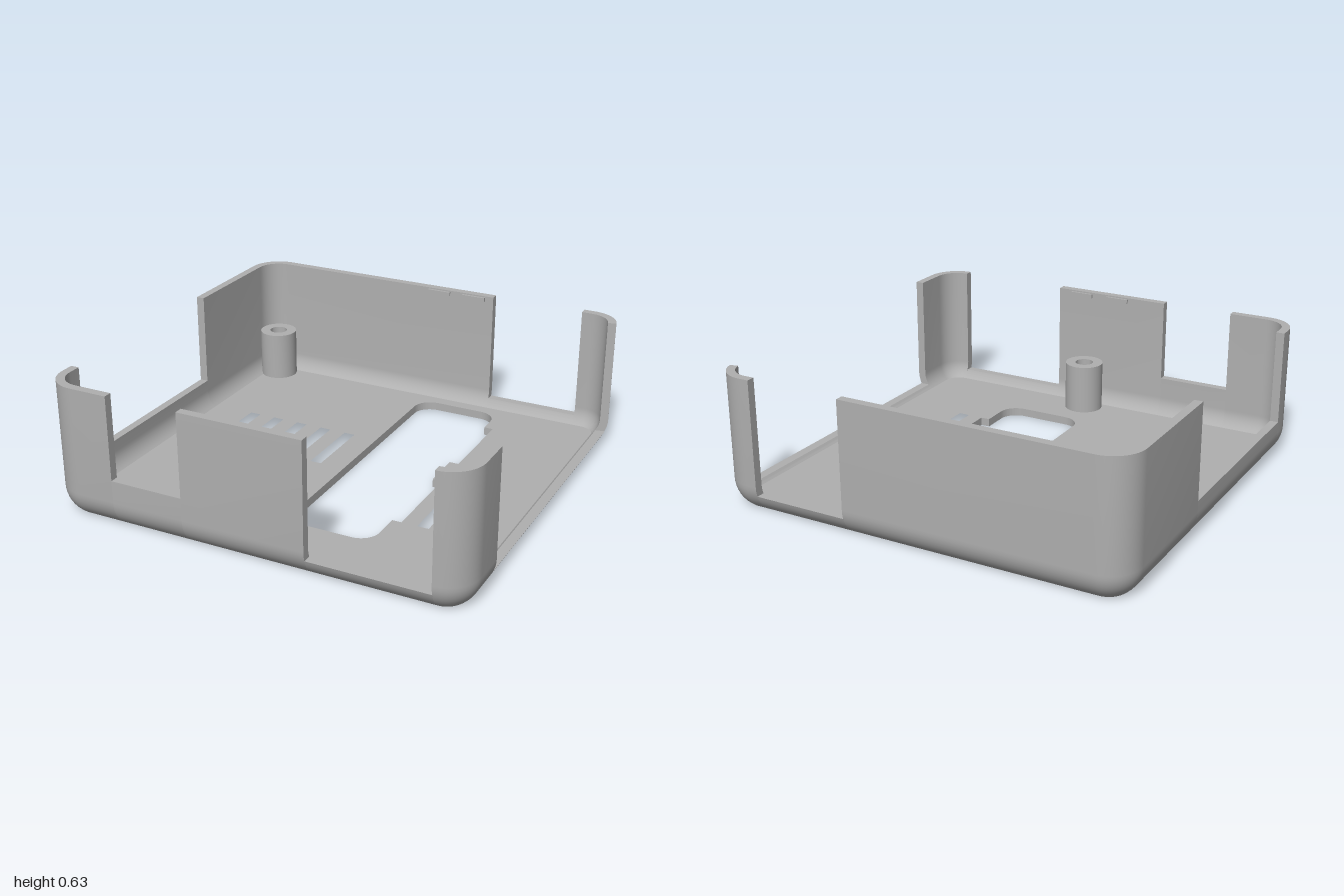
import * as THREE from 'three';
import { toCreasedNormals } from 'three/addons/utils/BufferGeometryUtils.js';

const W = 0.85, D = 0.82;         // corner centres of the rounded plan
const R = 0.15, RI = 0.11;        // outer and inner corner radius
const ARC_Y = 0.124, FLOOR = 0.04, FOOT = 0.085, TOP = 0.63;
const PI = Math.PI;

// Path stations hold a centre line point and an outward angle
const at = (x, z, a) => ({ x, z, a });
function arc(x, z, a0, a1, n = 12) {
  const out = [];
  for (let i = 0; i <= n; i++) out.push(at(x, z, a0 + (a1 - a0) * i / n));
  return out;
}

// Wall cross-section: outset from the corner centre, and height
function wallProfile(top) {
  const pts = [], n = 8;
  const angle = (y, r) => Math.asin(Math.max(0, ARC_Y - y) / r);
  const curve = (r, y0, y1) => {
    const a0 = angle(y0, r), a1 = angle(y1, r);
    for (let i = 0; i <= n; i++) {
      const a = a0 + (a1 - a0) * i / n;
      pts.push(new THREE.Vector2(r * Math.cos(a), ARC_Y - r * Math.sin(a)));
    }
  };
  curve(R, 0, top);
  if (top > ARC_Y) pts.push(new THREE.Vector2(R, top), new THREE.Vector2(RI, top));
  curve(RI, top, FLOOR);
  pts.push(new THREE.Vector2(FOOT, FLOOR));
  pts[0].set(FOOT, 0);
  return pts;
}

// Sweep the cross-section along the stations and cap both ends
function wallGeometry(path, top) {
  const prof = wallProfile(top), pos = [];
  const put = (s, p) => pos.push(s.x + Math.cos(s.a) * p.x, p.y, s.z + Math.sin(s.a) * p.x);
  for (let i = 0; i < path.length - 1; i++) {
    const s = path[i], t = path[i + 1];
    prof.forEach((p, j) => {
      const q = prof[(j + 1) % prof.length];
      put(s, p); put(s, q); put(t, p);
      put(s, q); put(t, q); put(t, p);
    });
  }
  const first = path[0], last = path[path.length - 1];
  for (const [a, b, c] of THREE.ShapeUtils.triangulateShape(prof, [])) {
    put(first, prof[a]); put(first, prof[c]); put(first, prof[b]);
    put(last, prof[a]); put(last, prof[b]); put(last, prof[c]);
  }
  const g = new THREE.BufferGeometry();
  g.setAttribute('position', new THREE.Float32BufferAttribute(pos, 3));
  return toCreasedNormals(g, 0.5);
}

// Rectangular floor slot (shape y is -z)
function slot(x0, x1, z0, z1) {
  return new THREE.Path([[x0, -z0], [x1, -z0], [x1, -z1], [x0, -z1]].map(p => new THREE.Vector2(...p)));
}

export function createModel() {
  const model = new THREE.Group();
  model.name = 'enclosureTray';
  const grey = new THREE.MeshStandardMaterial({ color: 0xb0b0b0 });
  grey.name = 'greyPlastic';
  const add = (name, geometry, x = 0, y = 0, z = 0) => {
    const m = new THREE.Mesh(geometry, grey);
    m.name = name;
    m.position.set(x, y, z);
    model.add(m);
  };

  // Walls and low sills, running around the tray
  const right = 0, front = PI / 2, left = PI, back = 1.5 * PI;
  const skew = 0.2;               // right opening runs a little into the back corner
  const walls = [
    ['rightSill', 0.06, [...arc(W, -D, -skew, 0, 3), at(W, 0.66, right)]],
    ['frontRightCorner', TOP, [at(W, 0.66, right), ...arc(W, D, 0, front)]],
    ['frontPortSill', 0.08, [at(W, D, front), at(0.28, D, front)]],
    ['frontPanel', TOP, [at(0.28, D, front), at(-0.31, D, front)]],
    ['frontSmallSill', 0.23, [at(-0.31, D, front), at(-0.665, D, front)]],
    ['frontLeftCorner', TOP, [at(-0.665, D, front), ...arc(-W, D, front, left), at(-W, 0.76, left)]],
    ['leftSill', 0.18, [at(-W, 0.76, left), at(-W, -0.26, left)]],
    ['backLeftWall', TOP, [at(-W, -0.26, left), ...arc(-W, -D, left, back), at(0.335, -D, back)]],
    ['backSill', 0.08, [at(0.335, -D, back), at(0.8, -D, back)]],
    ['backRightCorner', TOP, [at(0.8, -D, back), ...arc(W, -D, back, 2 * PI - skew)]],
  ];
  for (const [name, top, path] of walls) add(name, wallGeometry(path, top));

  // Floor plate with its openings
  const rim = [...arc(W, D, 0, front), ...arc(-W, D, front, left),
    ...arc(-W, -D, left, back), ...arc(W, -D, back, 2 * PI)];
  const floor = new THREE.Shape(rim.map(s =>
    new THREE.Vector2(s.x + FOOT * Math.cos(s.a), -s.z - FOOT * Math.sin(s.a))));

  // Large opening with two side notches
  const r = 0.09, x1 = 0.42, xn = 0.465, yb = -0.635, yt = 0.83;
  const bay = new THREE.Path();
  bay.moveTo(r, yb);
  bay.lineTo(x1 - r, yb);
  bay.absarc(x1 - r, yb + r, r, -PI / 2, 0);
  for (const [x, y] of [[x1, -0.42], [xn, -0.42], [xn, 0.02], [x1, 0.02],
    [x1, 0.22], [xn, 0.22], [xn, 0.66], [x1, 0.66]]) bay.lineTo(x, y);
  bay.absarc(x1 - r, yt - r, r, 0, PI / 2);
  bay.absarc(r, yt - r, r, PI / 2, PI);
  bay.absarc(r, yb + r, r, PI, 1.5 * PI);
  floor.holes.push(bay, slot(0.54, 0.595, -0.02, 0.42));

  // Vent slots
  for (let i = 0; i < 5; i++) {
    const x = -0.717 + i * 0.135;
    floor.holes.push(slot(x, x + 0.055, -0.285, 0.07));
  }

  // Screw posts with a wider bore below
  const posts = [['backLeftPost', -0.86, -0.83], ['frontPost', 0.08, 0.825]];
  const postProfile = [[0.095, FLOOR], [0.095, 0.285], [0.045, 0.285], [0.045, 0.1], [0.07, 0.1], [0.07, FLOOR]]
    .map(p => new THREE.Vector2(...p));
  for (const [name, x, z] of posts) {
    add(name, toCreasedNormals(new THREE.LatheGeometry(postProfile, 40), 0.5), x, 0, z);
    floor.holes.push(new THREE.Path().absarc(x, -z, 0.07, 0, 2 * PI));
  }
  const floorGeo = new THREE.ExtrudeGeometry(floor, { depth: FLOOR, bevelEnabled: false, curveSegments: 20 });
  floorGeo.rotateX(-PI / 2);
  add('floor', toCreasedNormals(floorGeo, 0.5));

  // Small snap ridges inside the front and back walls
  const inner = D + RI - 0.003;
  for (const [name, x, side] of [['backSnapRidge', 0.04, -1], ['backSnapRidge', 0.23, -1],
    ['frontSnapRidge', -0.05, 1], ['frontSnapRidge', 0.15, 1]]) {
    add(name, new THREE.BoxGeometry(0.12, 0.02, 0.018), x, 0.613, side * inner);
  }
  return model;
}
